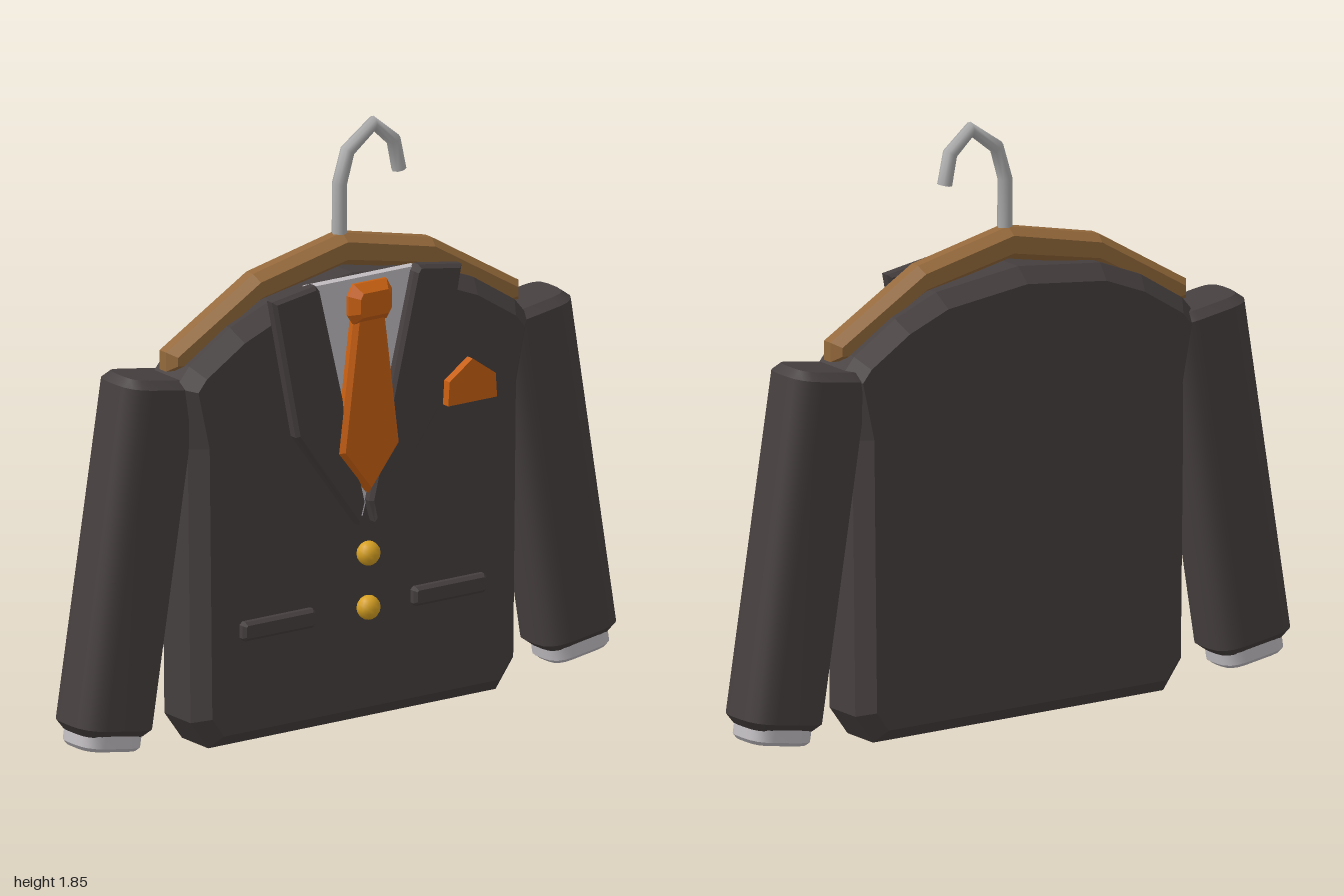
import * as THREE from 'three';
import { toCreasedNormals } from 'three/addons/utils/BufferGeometryUtils.js';

const material = (name, color) => {
  const m = new THREE.MeshStandardMaterial({ color });
  m.name = name;
  return m;
};
const cloth = material('charcoal cloth', 0x463f3f);
const linen = material('pale shirt', 0xbfbbbf);
const silk = material('orange silk', 0xc75f12);
const wood = material('hanger wood', 0x94693b);
const steel = material('hook steel', 0xadadad);
const brass = material('brass', 0xd6a022);

const mirror = (pts) => pts.map(([x, y]) => [-x, y]);
// Full symmetric outline from its right half, listed bottom to top
const symmetric = (half) => [...half, ...mirror(half.filter(([x]) => x > 0)).reverse()];

const addMesh = (parent, name, geometry, mat) => {
  const mesh = new THREE.Mesh(geometry, mat);
  mesh.name = name;
  parent.add(mesh);
  return mesh;
};

// Solid with a chamfered edge between two depths
function slab(shape, z0, z1, bevel, thickness = bevel) {
  const g = new THREE.ExtrudeGeometry(shape, {
    depth: z1 - z0 - 2 * thickness, curveSegments: 4,
    bevelEnabled: bevel > 0, bevelSegments: 1,
    bevelSize: bevel, bevelThickness: thickness, bevelOffset: -bevel,
  });
  return g.translate(0, 0, z0 + thickness);
}
const outline = (pts) => new THREE.Shape(pts.map(([x, y]) => new THREE.Vector2(x, y)));

function roundedRect(w, d, r) {
  const s = new THREE.Shape(), x = w / 2, y = d / 2;
  s.moveTo(-x + r, -y).lineTo(x - r, -y).quadraticCurveTo(x, -y, x, -y + r);
  s.lineTo(x, y - r).quadraticCurveTo(x, y, x - r, y);
  s.lineTo(-x + r, y).quadraticCurveTo(-x, y, -x, y - r);
  s.lineTo(-x, -y + r).quadraticCurveTo(-x, -y, -x + r, -y);
  return s;
}
// Upright rounded column between two heights
const column = (w, d, r, y0, y1, bevel) =>
  toCreasedNormals(slab(roundedRect(w, d, r), y0, y1, bevel).rotateX(-Math.PI / 2), 0.55);

export function createModel() {
  const model = new THREE.Group();
  model.name = 'suitOnHanger';

  // Jacket body
  const body = symmetric([
    [0.53, 0], [0.595, 0.09], [0.605, 0.95], [0.65, 1.15],
    [0.6, 1.21], [0.45, 1.305], [0.3, 1.365], [0, 1.4],
  ]);
  addMesh(model, 'jacketBody', slab(outline(body), -0.155, 0.08, 0.045, 0.05), cloth);

  // Sleeves with shirt cuffs
  for (const side of [-1, 1]) {
    const arm = new THREE.Group();
    arm.name = side > 0 ? 'leftArm' : 'rightArm';
    addMesh(arm, 'sleeve', column(0.28, 0.205, 0.08, -0.552, 0.552, 0.025), cloth);
    addMesh(arm, 'cuff', column(0.225, 0.165, 0.065, -0.598, -0.53, 0.012), linen);
    arm.position.set(side * 0.7725, 0.635, -0.052);
    arm.rotation.z = side * 0.159;
    model.add(arm);
  }

  // Shirt front
  addMesh(model, 'shirtFront',
    slab(outline([[-0.2, 1.4], [0, 0.65], [0.2, 1.4]]), 0.055, 0.086, 0), linen);

  // Lapels and pocket welts
  const lapel = [[0.175, 1.39], [0.19, 1.41], [0.35, 1.385], [0.262, 0.945], [0.03, 0.63], [0.008, 0.7]];
  const welt = [[0.18, 0.345], [0.19, 0.335], [0.44, 0.335], [0.45, 0.345],
    [0.45, 0.385], [0.44, 0.395], [0.19, 0.395], [0.18, 0.385]];
  for (const [side, place] of [['left', (p) => p], ['right', mirror]]) {
    addMesh(model, side + 'Lapel', slab(outline(place(lapel)), 0.07, 0.118, 0.011), cloth);
    addMesh(model, side + 'PocketWelt', slab(outline(place(welt)), 0.07, 0.105, 0.01), cloth);
  }

  // Tie and pocket square
  const blade = symmetric([[0, 0.73], [0.11, 0.87], [0.055, 1.3]]);
  addMesh(model, 'tieBlade', slab(outline(blade), 0.085, 0.132, 0.014), silk);
  const knot = symmetric([[0.06, 1.27], [0.08, 1.3], [0.08, 1.36], [0.06, 1.395]]);
  addMesh(model, 'tieKnot', slab(outline(knot), 0.085, 0.155, 0.025, 0.03), silk);
  addMesh(model, 'pocketSquare',
    slab(outline([[0.3, 0.945], [0.48, 0.945], [0.475, 1.02], [0.39, 1.08], [0.305, 1.02]]), 0.07, 0.108, 0), silk);

  // Buttons
  for (const y of [0.365, 0.535]) {
    const button = addMesh(model, 'button', new THREE.SphereGeometry(0.038, 12, 8), brass);
    button.position.set(0.01, y, 0.102);
    button.scale.z = 0.88;
  }

  // Wooden hanger bar
  const bar = [[-0.65, 1.25], [-0.33, 1.44], [0, 1.512], [0.33, 1.44], [0.65, 1.25],
    [0.65, 1.19], [0.6, 1.185], [0.31, 1.35], [0, 1.412], [-0.31, 1.35], [-0.6, 1.185], [-0.65, 1.19]];
  addMesh(model, 'hangerBar', slab(outline(bar), -0.085, 0.012, 0.022, 0.032), wood);

  // Bent wire hook, one ring per path point
  const path = [[0, 1.48], [0, 1.66], [0.03, 1.76], [0.125, 1.83], [0.2, 1.765], [0.22, 1.67]];
  const curve = new THREE.CatmullRomCurve3(path.map(([x, y]) => new THREE.Vector3(x, y, -0.035)));
  curve.getPointAt = curve.getPoint;
  curve.getTangentAt = curve.getTangent;
  addMesh(model, 'hook', new THREE.TubeGeometry(curve, path.length - 1, 0.023, 8), steel);
  const tip = addMesh(model, 'hookTip', new THREE.CircleGeometry(0.023, 8), steel);
  tip.position.copy(curve.getPoint(1));
  tip.lookAt(curve.getPoint(1).add(curve.getTangent(1)));

  return model;
}
